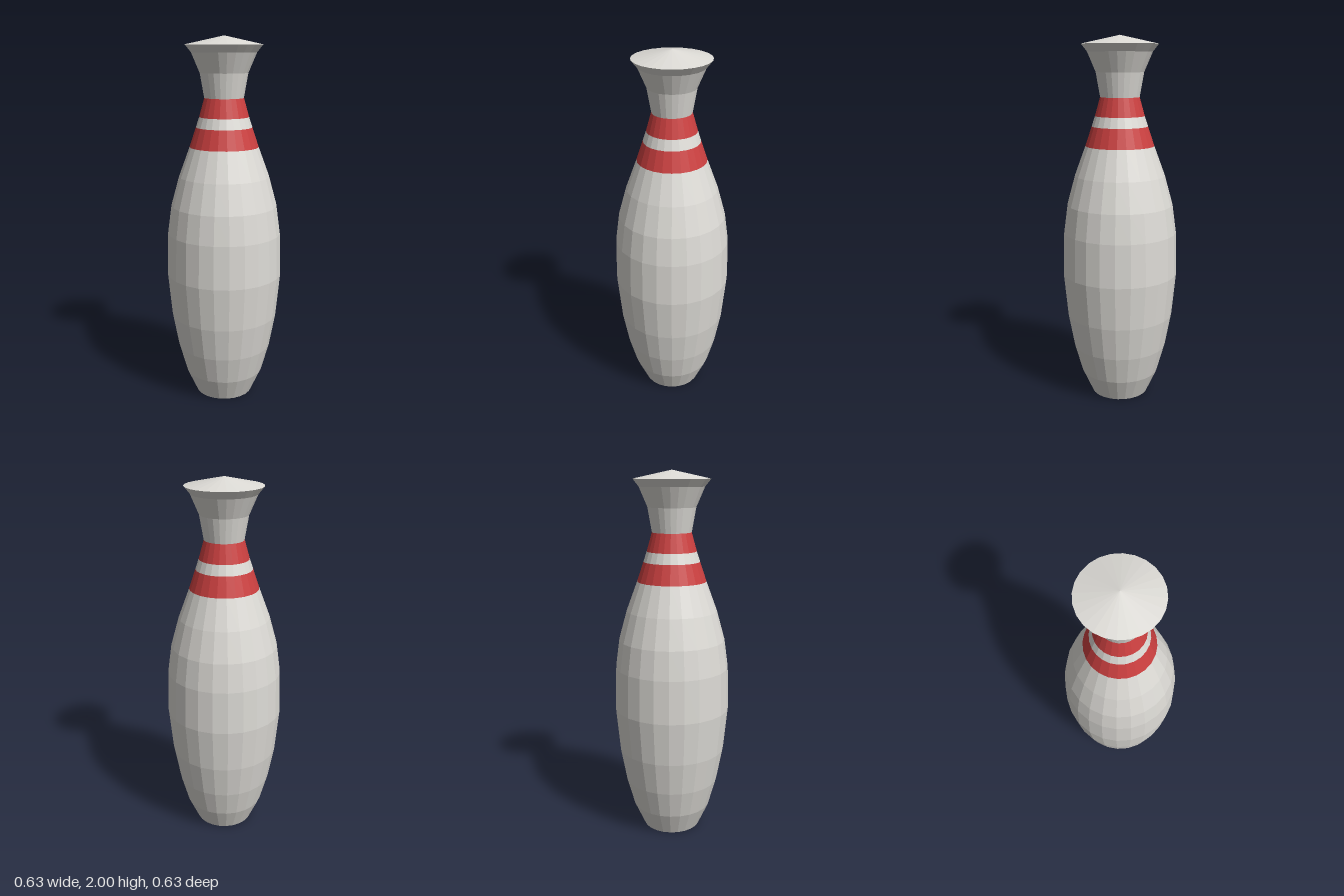
import * as THREE from 'three';

const SIDES = 24;

export function createModel() {
  const white = new THREE.MeshStandardMaterial({ color: 0xdddbd6, flatShading: true });
  white.name = 'offWhite';
  const red = new THREE.MeshStandardMaterial({ color: 0xcc4040, flatShading: true });
  red.name = 'stripeRed';

  const model = new THREE.Group();
  model.name = 'bowlingPin';

  // Each part is a ring of facets turned from [radius, height] points, bottom to top
  const turned = (name, material, profile) => {
    const points = profile.map(([r, y]) => new THREE.Vector2(r, y));
    const mesh = new THREE.Mesh(new THREE.LatheGeometry(points, SIDES), material);
    mesh.name = name;
    model.add(mesh);
  };

  // Flat underside and swelling belly
  turned('base', white, [[0, 0], [0.158, 0]]);
  turned('belly', white, [
    [0.158, 0], [0.217, 0.13], [0.26, 0.285], [0.294, 0.47], [0.317, 0.71],
    [0.311, 0.945], [0.29, 1.1], [0.246, 1.26], [0.187, 1.42],
  ]);

  // Shoulder with two painted stripes
  turned('lowerStripe', red, [[0.187, 1.42], [0.152, 1.525]]);
  turned('stripeGap', white, [[0.152, 1.525], [0.134, 1.58]]);
  turned('upperStripe', red, [[0.134, 1.58], [0.106, 1.68]]);

  // Flared neck and shallow conical top
  turned('neck', white, [[0.106, 1.68], [0.129, 1.81], [0.174, 1.915], [0.206, 1.955]]);
  turned('topCap', white, [[0.206, 1.955], [0, 2]]);

  return model;
}
